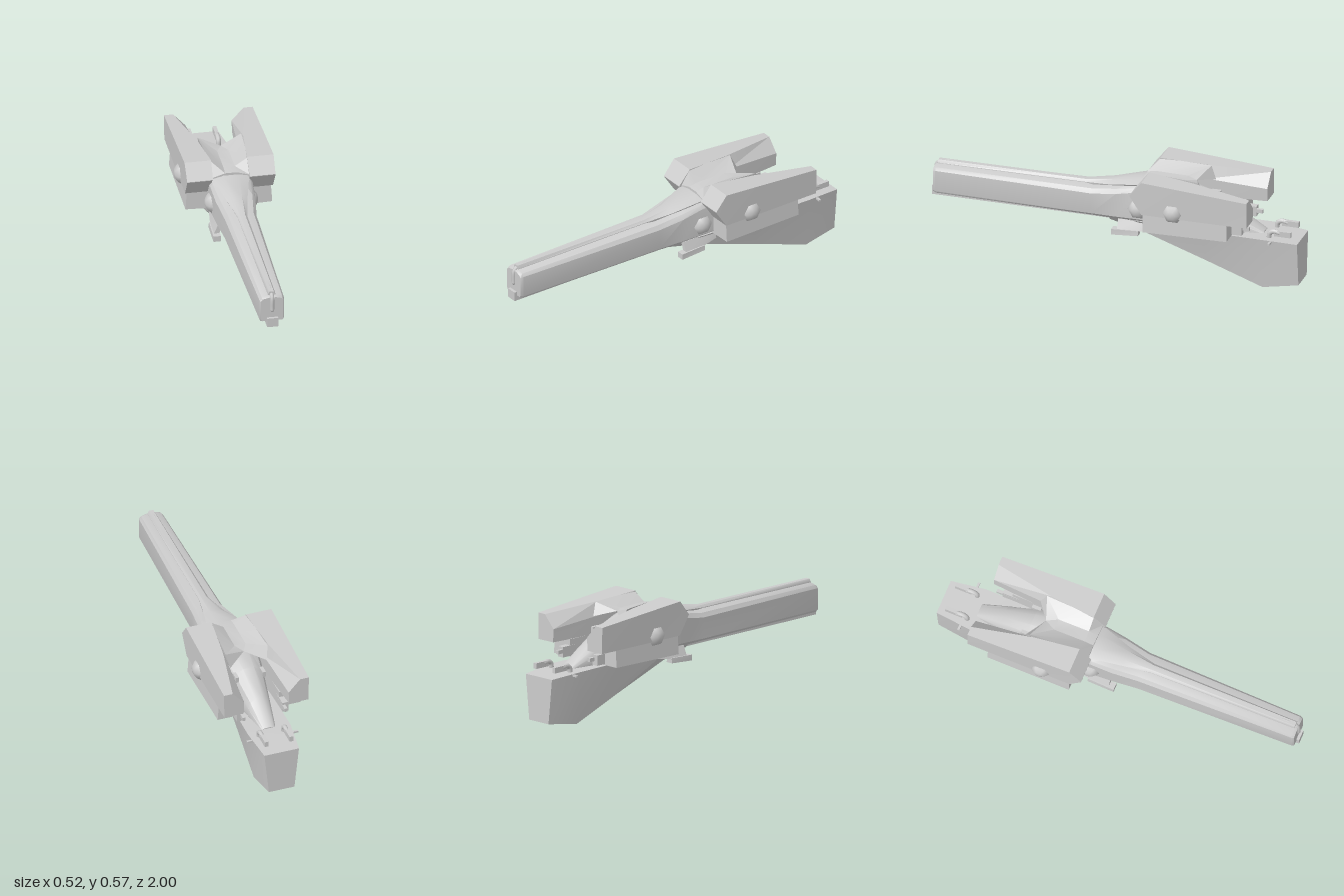
import * as THREE from 'three';
import { toCreasedNormals } from 'three/addons/utils/BufferGeometryUtils.js';

const material = new THREE.MeshStandardMaterial({ color: 0xcccccc });

// Skin over closed cross-sections, front to back; points run counter-clockwise seen from +z.
function loft(sections, crease = 0.5) {
  const pos = [];
  const tri = (a, b, c) => pos.push(...a, ...b, ...c);
  const n = sections[0].length;
  for (let s = 0; s < sections.length - 1; s++) {
    const f = sections[s], b = sections[s + 1];
    for (let i = 0; i < n; i++) {
      const j = (i + 1) % n;
      tri(f[i], b[i], b[j]);
      tri(f[i], b[j], f[j]);
    }
  }
  const cap = (ring, front) => {
    const c = [0, 1, 2].map(k => ring.reduce((sum, p) => sum + p[k], 0) / n);
    ring.forEach((p, i) => {
      const q = ring[(i + 1) % n];
      front ? tri(c, p, q) : tri(c, q, p);
    });
  };
  cap(sections[0], true);
  cap(sections[sections.length - 1], false);
  const geo = new THREE.BufferGeometry();
  geo.setAttribute('position', new THREE.Float32BufferAttribute(pos, 3));
  return toCreasedNormals(geo, crease);
}

const ring = (z, pts) => pts.map(([x, y, dz = 0]) => [x, y, z + dz]);
const flip = r => r.map(([x, y, z]) => [-x, y, z]).reverse();
// Right half (bottom to top) completed by its reflection
const sym = (z, pts) => { const r = ring(z, pts); return [...r, ...flip(r)]; };

export function createModel() {
  const model = new THREE.Group();
  const add = (name, geo, x = 0, y = 0, z = 0, parent = model) => {
    const mesh = new THREE.Mesh(geo, material);
    mesh.name = name;
    mesh.position.set(x, y, z);
    parent.add(mesh);
    return mesh;
  };
  const box = (w, h, d) => new THREE.BoxGeometry(w, h, d);

  // Long nose, flaring shoulders and tapering rear spine
  add('fuselage', loft([
    sym(0.985, [[0.054, 0.28], [0.06, 0.288], [0.06, 0.395], [0.05, 0.408], [0.02, 0.416]]),
    sym(0.97, [[0.058, 0.274], [0.065, 0.285], [0.065, 0.4], [0.054, 0.416], [0.02, 0.424]]),
    sym(0.12, [[0.07, 0.274], [0.084, 0.288], [0.084, 0.4], [0.068, 0.422], [0.025, 0.432]]),
    sym(-0.02, [[0.08, 0.276], [0.1, 0.295], [0.104, 0.425], [0.088, 0.448], [0.04, 0.46]]),
    sym(-0.13, [[0.085, 0.28], [0.108, 0.3], [0.112, 0.452], [0.1, 0.47], [0.05, 0.49]]),
    sym(-0.35, [[0.085, 0.28], [0.112, 0.3], [0.11, 0.44], [0.09, 0.475], [0.04, 0.5]]),
    sym(-0.5, [[0.085, 0.28], [0.09, 0.3], [0.088, 0.38], [0.072, 0.43], [0.03, 0.46]]),
    sym(-0.66, [[0.062, 0.278], [0.066, 0.29], [0.062, 0.33], [0.048, 0.36], [0.02, 0.376]]),
    sym(-0.8, [[0.04, 0.27], [0.04, 0.275], [0.037, 0.28], [0.03, 0.285], [0.015, 0.288]]),
  ], 0.6));

  // Raised ridge along the nose that widens into a collar
  add('topRidge', loft([
    sym(0.97, [[0.018, 0.41], [0.02, 0.428], [0.012, 0.443]]),
    sym(0.17, [[0.026, 0.42], [0.026, 0.434], [0.014, 0.445]]),
    sym(0.02, [[0.045, 0.43], [0.055, 0.452], [0.026, 0.47]]),
    sym(-0.13, [[0.05, 0.44], [0.092, 0.488], [0.04, 0.5]]),
    sym(-0.3, [[0.05, 0.44], [0.092, 0.488], [0.04, 0.507]]),
  ], 0.7));
  add('noseHook', new THREE.TubeGeometry(new THREE.CatmullRomCurve3([
    new THREE.Vector3(0, 0.432, 0.85), new THREE.Vector3(0, 0.431, 0.95),
    new THREE.Vector3(0, 0.415, 0.98), new THREE.Vector3(0, 0.345, 0.985),
  ]), 20, 0.011, 8));
  const tip = add('noseHookTip', new THREE.SphereGeometry(0.011, 8, 6), 0, 0.345, 0.985);
  tip.scale.y = 1.4;

  // Narrow rail beneath the nose
  add('underRail', box(0.058, 0.03, 1.03), 0, 0.265, 0.475);
  add('noseBlock', box(0.058, 0.05, 0.05), 0, 0.275, 0.975);

  // Deep rear hull
  add('rearHull', loft([
    sym(0.03, [[0.042, 0.25], [0.072, 0.28]]),
    sym(-0.14, [[0.048, 0.212], [0.1, 0.285]]),
    sym(-0.5, [[0.067, 0.1], [0.115, 0.284]]),
    sym(-0.81, [[0.085, 0], [0.118, 0.283]]),
    sym(-1, [[0.07, 0.03], [0.095, 0.27]]),
  ], 0.3));

  // Saddle joining the two upper pods
  add('podBridge', loft([
    sym(-0.15, [[0.03, 0.508], [0.1, 0.486], [0.1, 0.492], [0.03, 0.514]]),
    sym(-0.2, [[0.03, 0.51], [0.1, 0.486], [0.1, 0.568], [0.03, 0.523]]),
    sym(-0.37, [[0.03, 0.51], [0.1, 0.486, -0.13], [0.115, 0.555, -0.1], [0.03, 0.521]]),
  ], 0.3));

  const podSections = [
    ring(-0.135, [[0.1, 0.487], [0.232, 0.487], [0.232, 0.49], [0.097, 0.49], [0.097, 0.488]]),
    ring(-0.2, [[0.1, 0.388], [0.231, 0.388], [0.234, 0.57], [0.094, 0.57], [0.095, 0.488]]),
    ring(-0.45, [[0.1, 0.388], [0.231, 0.388], [0.234, 0.553], [0.122, 0.553], [0.098, 0.485]]),
    ring(-0.77, [[0.125, 0.39], [0.231, 0.39], [0.233, 0.53], [0.185, 0.53], [0.122, 0.46]]),
  ];
  const lowerPodSections = [
    ring(-0.205, [[0.1, 0.285], [0.228, 0.289], [0.221, 0.39], [0.1, 0.39]]),
    ring(-0.66, [[0.11, 0.297], [0.228, 0.297], [0.221, 0.39], [0.11, 0.39]]),
  ];

  for (const side of [1, -1]) {
    const group = new THREE.Group();
    group.name = side > 0 ? 'leftSide' : 'rightSide';
    model.add(group);
    const put = (name, geo, x, y, z) => add(name, geo, side * x, y, z, group);
    const shape = list => side > 0 ? list : list.map(flip);

    put('upperPod', loft(shape(podSections), 0.35), 0, 0, 0);
    put('lowerPod', loft(shape(lowerPodSections), 0.2), 0, 0, 0);
    put('podRearFitting', box(0.035, 0.055, 0.09), 0.125, 0.33, -0.67);
    put('podRearPeg', box(0.016, 0.02, 0.12), 0.115, 0.335, -0.69);

    // Six-sided domes on the pods and shoulders
    const dome = new THREE.SphereGeometry(0.062, 6, 8).rotateZ(Math.PI / 2);
    put('podDome', dome.clone().rotateX(Math.PI / 2), 0.198, 0.415, -0.365);
    put('shoulderDome', dome.clone().rotateX(Math.PI / 2), 0.079, 0.355, -0.14);

    // Small foot pods on slanted struts
    put('footPod', loft(shape([
      ring(0, [[0.08, 0.2], [0.12, 0.2], [0.12, 0.231], [0.08, 0.231]]),
      ring(-0.145, [[0.08, 0.21], [0.12, 0.21], [0.116, 0.236], [0.084, 0.236]]),
    ]), 0.2), 0, 0, 0);
    put('footStrut', loft(shape([
      ring(-0.03, [[0.085, 0.228], [0.113, 0.228], [0.09, 0.282], [0.066, 0.282]]),
      ring(-0.13, [[0.085, 0.23], [0.113, 0.23], [0.09, 0.282], [0.066, 0.282]]),
      ring(-0.23, [[0.075, 0.245], [0.1, 0.245], [0.09, 0.282], [0.066, 0.282]]),
    ]), 0.3), 0, 0, 0);

    // Bent tail fittings with a side pin
    put('tailPipe', new THREE.TubeGeometry(new THREE.CatmullRomCurve3([
      new THREE.Vector3(0, 0.275, -0.84), new THREE.Vector3(0, 0.305, -0.845),
      new THREE.Vector3(0, 0.317, -0.865), new THREE.Vector3(0, 0.312, -0.9),
    ]), 12, 0.013, 8), 0.068, 0, 0);
    put('tailBar', box(0.02, 0.03, 0.09), 0.068, 0.309, -0.915);
    put('tailPin', box(0.07, 0.01, 0.012), 0.105, 0.272, -0.86);

    // Little lugs beside the spine
    put('spineLug', box(0.018, 0.03, 0.05), 0.074, 0.425, -0.51);
  }
  return model;
}
